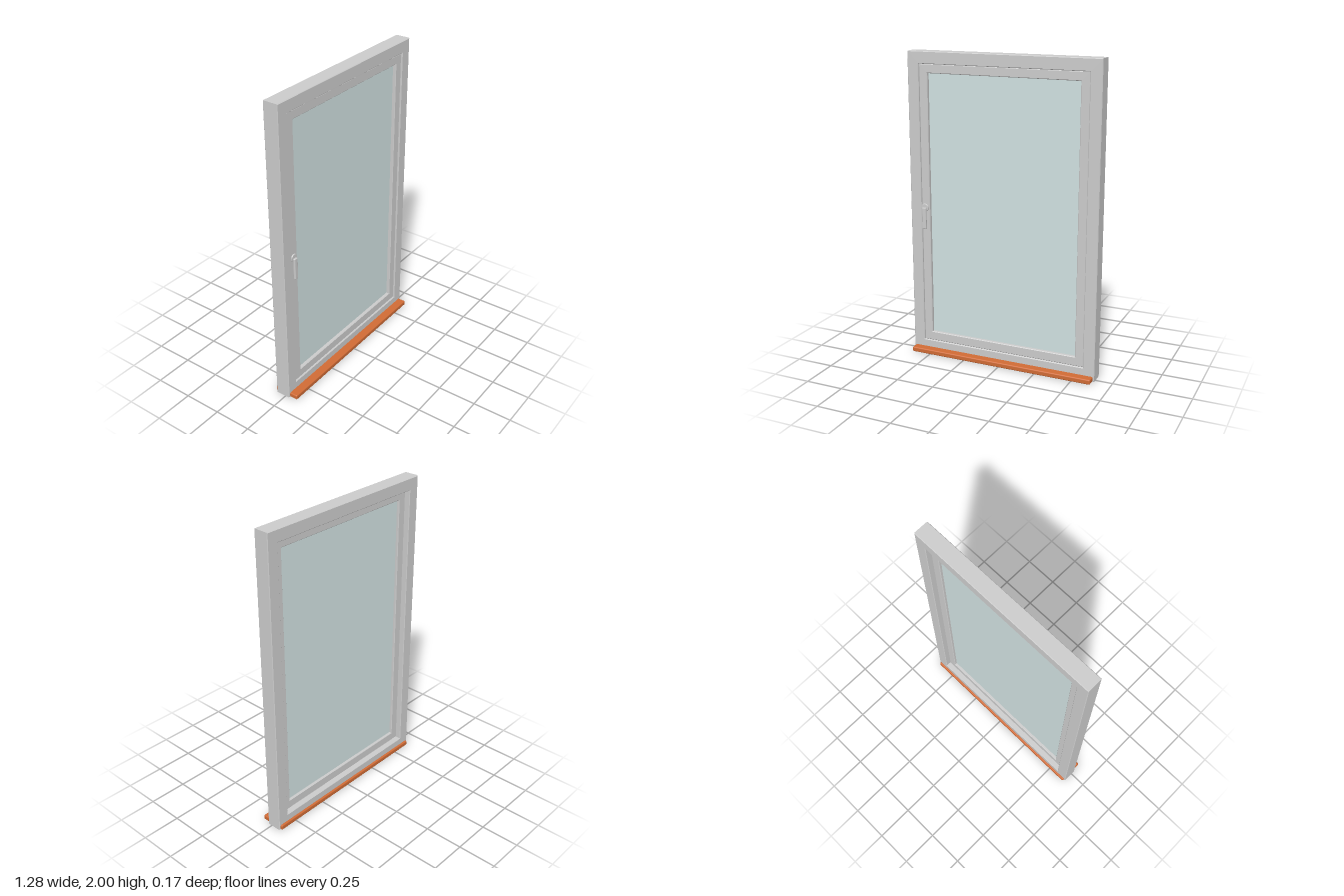
import * as THREE from 'three';
import { RoundedBoxGeometry } from 'three/addons/geometries/RoundedBoxGeometry.js';

const grey = new THREE.MeshStandardMaterial({ color: 0xcccccc });
const orange = new THREE.MeshStandardMaterial({ color: 0xd06b35 });
const glassTint = new THREE.MeshStandardMaterial({ color: 0xd0e0e0 });

function rectangle(path, halfWidth, bottom, top) {
  path.moveTo(-halfWidth, bottom);
  path.lineTo(halfWidth, bottom);
  path.lineTo(halfWidth, top);
  path.lineTo(-halfWidth, top);
  path.closePath();
  return path;
}

// Extrudes a shape between two z planes, with a small chamfer kept inside its outline
function extrude(shape, back, front, bevel, bevelSegments = 1) {
  const geometry = new THREE.ExtrudeGeometry(shape, {
    depth: front - back - 2 * bevel,
    bevelThickness: bevel, bevelSize: bevel, bevelOffset: -bevel, bevelSegments,
    curveSegments: 24,
  });
  return geometry.translate(0, 0, back + bevel);
}

// Rectangular ring; outer and inner are [halfWidth, bottom, top]
function ring(outer, inner, back, front, bevel) {
  const shape = rectangle(new THREE.Shape(), ...outer);
  shape.holes.push(rectangle(new THREE.Path(), ...inner));
  return extrude(shape, back, front, bevel);
}

function add(parent, name, geometry, material, x = 0, y = 0, z = 0) {
  const mesh = new THREE.Mesh(geometry, material);
  mesh.name = name;
  mesh.position.set(x, y, z);
  parent.add(mesh);
  return mesh;
}

export function createModel() {
  const model = new THREE.Group();
  model.name = 'window';

  // Fixed outer frame
  add(model, 'outerFrame', ring([0.638, 0, 2], [0.562, 0.083, 1.922], -0.07, 0.03, 0.004), grey);

  // Opening sash, set back from both faces of the frame
  add(model, 'sash', ring([0.562, 0.083, 1.922], [0.505, 0.143, 1.865], -0.035, 0.022, 0.004), grey);

  // Glass pane
  add(model, 'glassPane', new THREE.BoxGeometry(1.02, 1.732, 0.018), glassTint, 0, 1.004, -0.009);

  // Sill running under the frame, projecting front and back
  add(model, 'sill', new RoundedBoxGeometry(1.256, 0.033, 0.166, 3, 0.008), orange, 0, 0.0175, 0);

  // Handle: round rosette and a lever hanging down from it
  const handle = new THREE.Group();
  handle.name = 'handle';
  handle.position.set(-0.539, 1, 0);
  model.add(handle);
  const disc = new THREE.Shape().absarc(0, 0, 0.026, 0, Math.PI * 2);
  add(handle, 'handleRosette', extrude(disc, 0.02, 0.03, 0.003, 2), grey);
  add(handle, 'handleLever', new RoundedBoxGeometry(0.028, 0.142, 0.016, 3, 0.005), grey, 0, -0.069, 0.036);

  return model;
}
